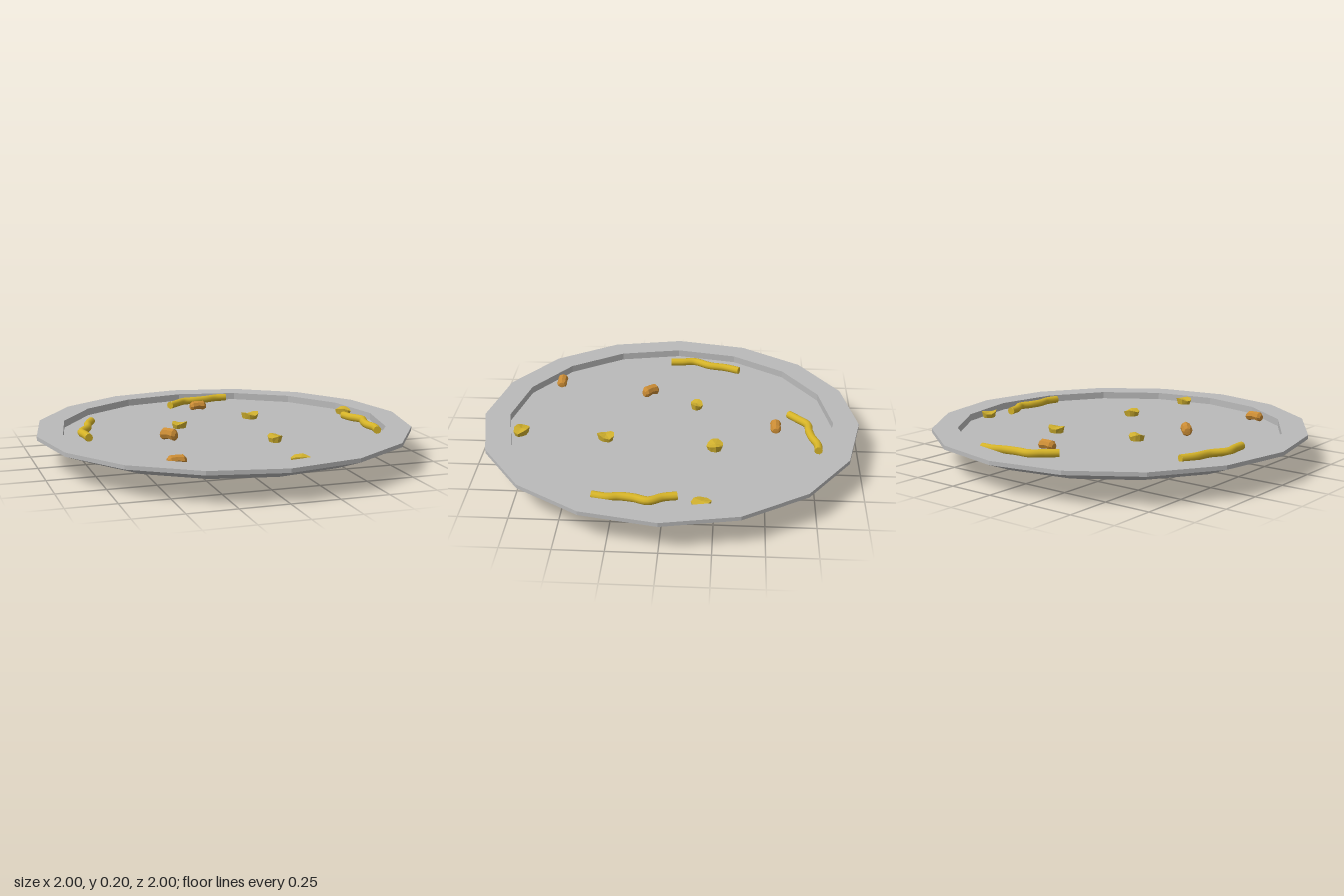
import * as THREE from 'three';

const FLOOR = 0.13;

const flat = (name, color) => {
  const m = new THREE.MeshStandardMaterial({ color, flatShading: true });
  m.name = name;
  return m;
};
const mats = {
  plate: flat('plateGrey', 0xbababa),
  noodle: new THREE.MeshStandardMaterial({ color: 0xd6b428 }),
  flake: flat('flakeYellow', 0xd0b02e),
  bean: flat('beanBrown', 0xcc8d35),
};
mats.noodle.name = 'noodleYellow';

function mesh(name, geometry, material) {
  const m = new THREE.Mesh(geometry, material);
  m.name = name;
  return m;
}

// Sixteen-sided dish with a flat rim and a shallow recessed floor
function makePlate() {
  const profile = [
    [0, 0], [0.32, 0], [0.85, 0.09], [1, 0.147],
    [1, 0.168], [0.865, 0.168], [0.865, FLOOR], [0, FLOOR],
  ].map(([r, y]) => new THREE.Vector2(r, y));
  return mesh('plate', new THREE.LatheGeometry(profile, 16), mats.plate);
}

// Wavy strand lying on the floor, closed at both ends
function makeNoodle(path) {
  const r = 0.021;
  const curve = new THREE.CatmullRomCurve3(
    path.map(([x, z]) => new THREE.Vector3(x, FLOOR + r, z)));
  const group = new THREE.Group();
  group.name = 'noodle';
  group.add(mesh('noodleStrand', new THREE.TubeGeometry(curve, 32, r, 10), mats.noodle));
  for (const t of [0, 1]) {
    const cap = mesh('noodleEnd', new THREE.CircleGeometry(r, 10), mats.noodle);
    const out = curve.getTangent(t).multiplyScalar(t ? 1 : -1);
    cap.position.copy(curve.getPoint(t));
    cap.quaternion.setFromUnitVectors(new THREE.Vector3(0, 0, 1), out);
    group.add(cap);
  }
  return group;
}

// Irregular thin flake: a low disc with an uneven outline
function makeFlake([x, z, rx, rz, turn], seed) {
  const g = new THREE.CylinderGeometry(1, 0.82, 1, 9);
  const p = g.attributes.position;
  for (let i = 0; i < p.count; i++) {
    const px = p.getX(i), pz = p.getZ(i), a = Math.atan2(pz, px);
    const onRim = Math.hypot(px, pz) > 0.1;
    const k = onRim ? 1 + 0.09 * Math.sin(2 * a + seed) + 0.06 * Math.cos(3 * a + seed * 2) : 1;
    const top = p.getY(i) > 0;
    const y = top ? 0.029 + (onRim ? 0.008 * Math.sin(2 * a + seed * 3) : 0) : 0;
    p.setXYZ(i, px * k * rx, y, pz * k * rz);
  }
  const m = mesh('flake', g, mats.flake);
  m.position.set(x, FLOOR + 0.001, z);
  m.rotation.y = turn;
  return m;
}

// Faceted, slightly arched bean with a narrower waist
function makeBean([x, z, turn, size]) {
  const profile = [
    [0, -0.047], [0.017, -0.046], [0.029, -0.032], [0.026, 0],
    [0.029, 0.032], [0.017, 0.046], [0, 0.047],
  ].map(([r, y]) => new THREE.Vector2(r, y));
  const g = new THREE.LatheGeometry(profile, 8);
  g.rotateZ(-Math.PI / 2);
  const p = g.attributes.position;
  for (let i = 0; i < p.count; i++) {
    p.setY(i, p.getY(i) + 0.029 - 4 * p.getX(i) ** 2);
  }
  g.computeBoundingBox();
  g.translate(0, -g.boundingBox.min.y, 0);
  const m = mesh('bean', g, mats.bean);
  m.position.set(x, FLOOR, z);
  m.rotation.y = turn;
  m.scale.set(1, size, 1);
  return m;
}

export function createModel() {
  const model = new THREE.Group();
  model.name = 'plateWithScraps';
  model.add(makePlate());

  // Strands near the rim, as x, z paths
  const noodles = [
    [[-0.12, -0.635], [-0.07, -0.68], [-0.01, -0.73], [0.06, -0.735], [0.13, -0.748], [0.2, -0.773], [0.265, -0.775]],
    [[-0.645, -0.36], [-0.68, -0.28], [-0.7, -0.19], [-0.75, -0.1], [-0.742, -0.03], [-0.738, 0.04]],
    [[0.735, -0.075], [0.75, -0.01], [0.787, 0.06], [0.765, 0.13], [0.755, 0.2], [0.765, 0.26], [0.75, 0.335]],
  ];
  noodles.forEach((path) => model.add(makeNoodle(path)));

  // Flakes: x, z, half width, half depth, turn
  const flakes = [
    [0.24, -0.245, 0.045, 0.047, 0.3],
    [-0.207, -0.13, 0.041, 0.036, 0.1],
    [0.175, 0.328, 0.042, 0.043, 0],
    [0.135, 0.782, 0.056, 0.038, -0.1],
    [0.788, -0.195, 0.036, 0.054, 0.15],
  ];
  flakes.forEach((f, i) => model.add(makeFlake(f, i * 1.7 + 0.5)));

  // Beans: x, z, turn, height scale
  const beans = [
    [0.027, -0.56, 0, 0.9],
    [-0.338, 0.132, -0.85, 1.1],
    [-0.441, 0.645, 0.03, 0.9],
  ];
  beans.forEach((b) => model.add(makeBean(b)));

  return model;
}
